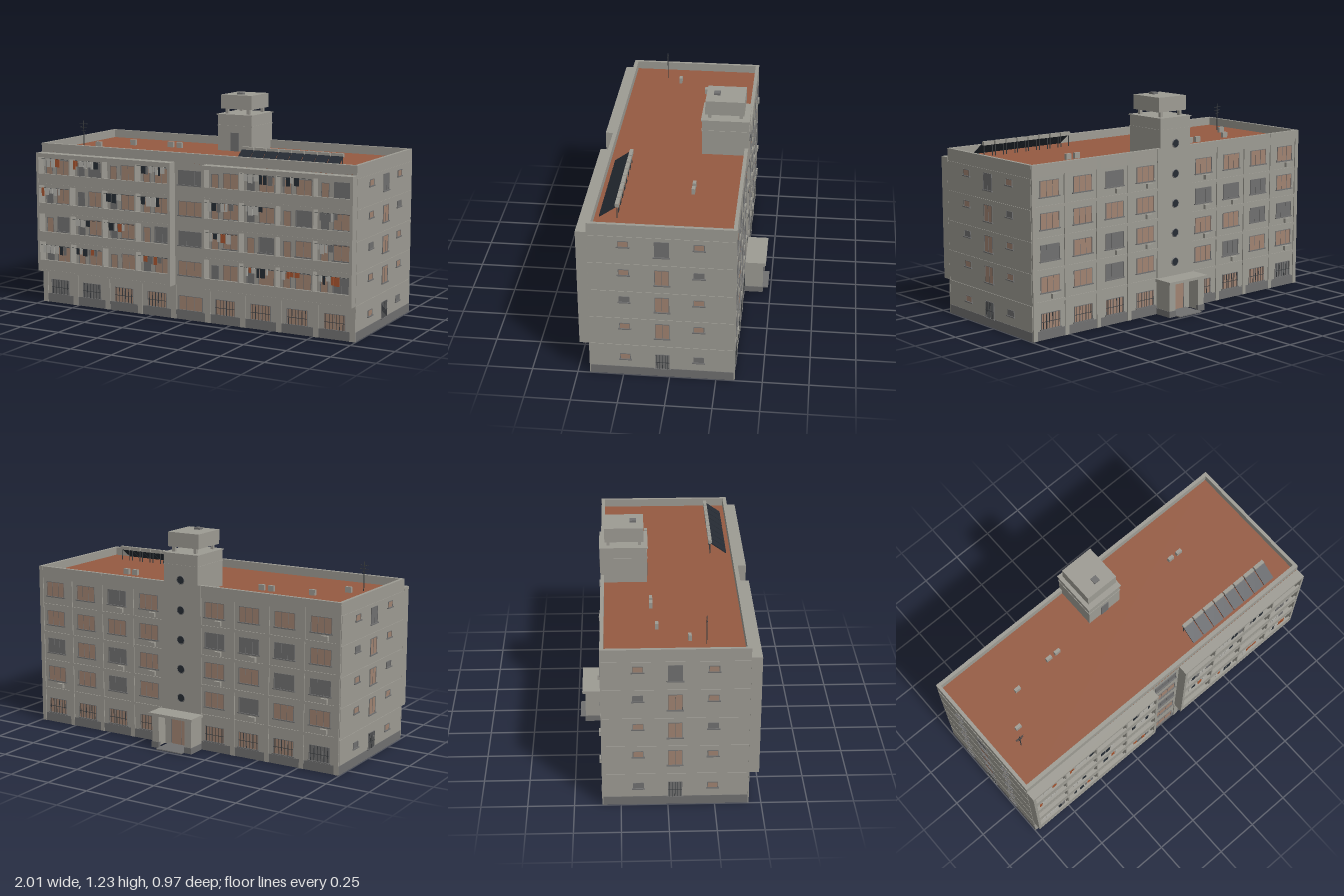
import * as THREE from 'three';

const flat = (name, color) => {
  const m = new THREE.MeshStandardMaterial({ color });
  m.name = name;
  return m;
};

export function createModel() {
  const model = new THREE.Group();
  model.name = 'apartmentBlock';
  const concrete = flat('concrete', 0x9d9b93);
  const grey = flat('dark grey', 0x707070);
  const brown = flat('brown shutter', 0xa08371);
  const terracotta = flat('terracotta roof', 0x955a41);
  const iron = flat('dark iron', 0x3a3d40);
  const navy = flat('dark panel', 0x252b33);
  const pale = flat('pale cloth', 0xb4b3ad);
  const rust = flat('rust cloth', 0xa4532f);

  let seed = 7;
  const rand = () => (seed = (seed * 16807) % 2147483647) / 2147483647;

  const group = (name, parent = model) => {
    const g = new THREE.Group();
    g.name = name;
    parent.add(g);
    return g;
  };
  // Box given by its limits on each axis
  const box = (parent, name, mat, x0, x1, y0, y1, z0, z1) => {
    const m = new THREE.Mesh(new THREE.BoxGeometry(x1 - x0, y1 - y0, z1 - z0), mat);
    m.position.set((x0 + x1) / 2, (y0 + y1) / 2, (z0 + z1) / 2);
    m.name = name;
    parent.add(m);
    return m;
  };
  // Window facing +z with its bottom centre at the origin; it shows on both sides of the wall
  const windowUnit = (parent, name, w, h, mat, { leaves = 2, bars = 0, sill = true } = {}) => {
    const g = group(name, parent);
    box(g, 'pane', mat, -w / 2, w / 2, 0, h, -0.008, 0.0015);
    for (const s of [-1, 1]) box(g, 'jamb', grey, s * w / 2 - 0.0015, s * w / 2 + 0.0015, 0, h, 0, 0.004);
    box(g, 'lintel', grey, -w / 2, w / 2, h - 0.0015, h + 0.0015, 0, 0.004);
    for (let i = 1; i < leaves; i++) {
      const x = -w / 2 + (w * i) / leaves;
      box(g, 'mullion', grey, x - 0.001, x + 0.001, 0, h, 0, 0.003);
    }
    for (let i = 0; i < bars; i++) {
      const x = -w / 2 + (w * (i + 0.5)) / bars;
      box(g, 'bar', iron, x - 0.0013, x + 0.0013, 0, h, 0.003, 0.0055);
    }
    if (bars) box(g, 'crossBar', iron, -w / 2, w / 2, h * 0.45, h * 0.45 + 0.0025, 0.003, 0.0055);
    if (sill) box(g, 'sill', grey, -w / 2 - 0.008, w / 2 + 0.008, -0.005, 0.001, 0, 0.008);
    return g;
  };

  const FRONT = 0.428, BACK = -0.345, SIDE = 0.991, TOP = 0.94, ROOF = 0.893;
  const base = [0.05, 0.248, 0.417, 0.586, 0.758];
  const bayX = (i) => (i < 4 ? -0.988 + i * 0.22 : 0.108 + (i - 4) * 0.22);

  // Hollow shell and roof
  const shell = group('shell');
  box(shell, 'frontWall', concrete, -SIDE, SIDE, 0, TOP, FRONT - 0.006, FRONT);
  box(shell, 'backWall', concrete, -SIDE, SIDE, 0, TOP, BACK, BACK + 0.006);
  for (const s of [-1, 1]) box(shell, 'sideWall', concrete, s * SIDE - 0.003, s * SIDE + 0.003, 0, TOP, BACK, FRONT);
  box(shell, 'roofDeck', terracotta, -SIDE, SIDE, ROOF - 0.008, ROOF, BACK, FRONT);
  box(shell, 'frontParapet', concrete, -SIDE, SIDE, ROOF, TOP, 0.405, FRONT);
  box(shell, 'backParapet', concrete, -SIDE, SIDE, ROOF, TOP, BACK, BACK + 0.015);
  for (const s of [-1, 1]) box(shell, 'sideParapet', concrete, s * 0.983 - 0.008, s * 0.983 + 0.008, ROOF, TOP, BACK, FRONT);

  // Ground floor of the front
  const ground = group('frontGroundFloor');
  box(ground, 'plinth', grey, -SIDE, SIDE, 0, 0.051, FRONT, FRONT + 0.003);
  for (const s of [-1, 1]) for (let i = 0; i < 5; i++) {
    const x = s * (0.11 + i * 0.22);
    const c = i === 4 ? s * 0.981 : x;
    box(ground, 'pilaster', concrete, c - 0.016, c + 0.016, 0, 0.195, FRONT, FRONT + 0.006);
  }
  for (let i = 0; i < 8; i++) {
    windowUnit(ground, 'groundWindow', 0.12, 0.085, i < 2 ? grey : brown, { bars: 6 })
      .position.set(bayX(i) + 0.11, 0.053, FRONT + 0.001);
  }

  // Stair windows between the balcony blocks
  const stair = group('frontStairWindows');
  base.forEach((y, f) => {
    windowUnit(stair, 'stairWindow', 0.15, 0.08, f === 2 || f === 4 ? grey : brown, { leaves: 3 })
      .position.set(0, y + 0.006, FRONT + 0.001);
  });

  // Balcony blocks: slabs, rails, partitions
  const railTop = [0.262, 0.43, 0.598, 0.77], slabY = [0.193, 0.37, 0.535, 0.702], OUT = 0.485;
  for (const s of [-1, 1]) {
    const b = group(s > 0 ? 'leftBalconies' : 'rightBalconies');
    const x0 = s > 0 ? 0.1 : -0.996, x1 = s > 0 ? 0.996 : -0.1;
    slabY.forEach((y, f) => {
      box(b, 'slab', concrete, x0, x1, y, y + 0.01, FRONT, OUT);
      box(b, 'rail', concrete, x0, x1, y, railTop[f], OUT - 0.01, OUT - 0.001);
      box(b, 'railCap', concrete, x0, x1, railTop[f] - 0.005, railTop[f], OUT - 0.012, OUT);
    });
    box(b, 'canopy', concrete, x0, x1, 0.866, 0.888, FRONT, OUT);
    for (let i = 0; i <= 4; i++) {
      const c = s * (0.108 + i * 0.22), t = i % 4 ? 0.004 : 0.008;
      box(b, 'partition', concrete, c - t, c + t, 0.193, 0.888, FRONT, i % 4 ? OUT - 0.002 : OUT);
    }
  }

  // Doors, windows and washing on the balconies
  const greyWide = [[7], [0, 3, 5], [6], [1, 7]];
  const washing = [[0, 1, 3, 5, 6, 7], [1, 2, 4, 7], [0, 2, 3, 4, 5, 7], [0, 1, 3, 5, 6]];
  for (let f = 0; f < 4; f++) for (let i = 0; i < 8; i++) {
    const bay = group('balconyBay'), x = bayX(i), y = slabY[f];
    windowUnit(bay, 'balconyDoor', 0.043, 0.125, rand() < 0.45 ? grey : brown, { leaves: 1, sill: false })
      .position.set(x + 0.048, y + 0.01, FRONT + 0.001);
    windowUnit(bay, 'balconyWindow', 0.092, 0.085, greyWide[f].includes(i) ? grey : brown)
      .position.set(x + 0.145, y + 0.058, FRONT + 0.001);
    if (!washing[f].includes(i)) continue;
    const lineY = railTop[f] + 0.088;
    box(bay, 'washingLine', iron, x + 0.01, x + 0.21, lineY, lineY + 0.0015, 0.479, 0.4805);
    const end = x + 0.12 + rand() * 0.07;
    for (let cx = x + 0.025 + rand() * 0.02; cx < end;) {
      const w = 0.012 + rand() * 0.02, h = 0.025 + rand() * 0.027, r = rand();
      const mat = r < 0.55 ? pale : r < 0.7 ? grey : r < 0.89 ? navy : rust;
      box(bay, 'cloth', mat, cx, cx + w, lineY - h, lineY + 0.001, 0.481, 0.483);
      cx += w + 0.002 + rand() * 0.006;
    }
  }

  // End walls: raised panels, plinth, windows (built facing +z, then turned)
  const panelY = [[0.052, 0.193], [0.21, 0.365], [0.378, 0.535], [0.55, 0.705], [0.72, 0.87]];
  const greyEnd = ['cr', '', 'l', 'r', 'c'];
  for (const s of [-1, 1]) {
    const e = group(s > 0 ? 'leftEndWall' : 'rightEndWall');
    e.rotation.y = s * Math.PI / 2;
    e.position.x = s * (SIDE + 0.003);
    // local x runs along the wall
    const wx = (z) => -s * z;
    box(e, 'plinth', grey, Math.min(wx(FRONT), wx(BACK)), Math.max(wx(FRONT), wx(BACK)), 0, 0.05, 0, 0.003);
    base.forEach((y, f) => {
      const [a, b] = panelY[f], m = [wx(0.426), wx(-0.343)].sort((p, q) => p - q);
      box(e, 'panel', concrete, m[0], m[1], a, b, 0, 0.003);
      const pick = (k) => (greyEnd[f].includes(k) ? grey : brown);
      windowUnit(e, 'endDoorWindow', 0.074, 0.091, pick('c'), { bars: f ? 0 : 5 }).position.set(wx(0.038), y, 0.003);
      windowUnit(e, 'smallWindow', 0.054, 0.033, pick('l'), { leaves: 1 }).position.set(wx(0.238), y + 0.053, 0.003);
      windowUnit(e, 'smallWindow', 0.054, 0.033, pick('r'), { leaves: 1 }).position.set(wx(-0.157), y + 0.053, 0.003);
    });
  }

  // Back facade: grid of ribs, windows and cooling units
  const back = group('backFacade');
  box(back, 'plinth', grey, -SIDE, SIDE, 0, 0.05, BACK - 0.003, BACK);
  for (const s of [-1, 1]) {
    for (let i = 0; i < 5; i++) {
      const c = s * (i === 4 ? 0.98 : 0.118 + i * 0.217);
      box(back, 'rib', concrete, c - 0.013, c + 0.013, 0, TOP, BACK - 0.006, BACK);
    }
    for (const y of [0.193, 0.365, 0.535, 0.703, 0.872]) {
      const w = y > 0.87 ? 0.068 : 0.016;
      box(back, 'floorBand', concrete, Math.min(s * 0.11, s * SIDE), Math.max(s * 0.11, s * SIDE), y, y + w, BACK - 0.005, BACK);
    }
  }
  base.forEach((y, f) => {
    for (let i = 0; i < 8; i++) {
      const x = bayX(i) + 0.11;
      const w = windowUnit(back, 'backWindow', 0.122, 0.086, rand() < 0.35 ? grey : brown, { leaves: 3, bars: f ? 0 : 6 });
      w.rotation.y = Math.PI;
      w.position.set(x, y + 0.008, BACK - 0.001);
      if (f && rand() < 0.35) box(back, 'coolingUnit', concrete, x - 0.045, x - 0.005, y - 0.03, y - 0.004, BACK - 0.017, BACK);
    }
  });

  // Stair tower with portholes and roof door
  const tower = group('stairTower');
  box(tower, 'backShaft', concrete, -0.11, 0.11, 0, ROOF, BACK - 0.006, BACK + 0.001);
  box(tower, 'towerHead', concrete, -0.11, 0.11, ROOF, 1.1, BACK - 0.006, -0.09);
  box(tower, 'ledge', concrete, -0.113, 0.113, 1.036, 1.042, BACK - 0.008, -0.087);
  box(tower, 'cornice', concrete, -0.116, 0.116, 1.1, 1.106, BACK - 0.01, -0.084);
  box(tower, 'roofDoor', grey, -0.027, 0.027, ROOF, 1.0, -0.09, -0.086);
  for (const y of [0.283, 0.45, 0.618, 0.787, 0.958]) {
    const rim = new THREE.Mesh(new THREE.TorusGeometry(0.023, 0.003, 6, 20), grey);
    const glass = new THREE.Mesh(new THREE.CylinderGeometry(0.023, 0.023, 0.004, 20), navy);
    glass.rotation.x = Math.PI / 2;
    rim.name = 'portholeRim';
    glass.name = 'porthole';
    for (const m of [rim, glass]) { m.position.set(0, y, BACK - 0.007); tower.add(m); }
  }

  // Water tank on posts
  const tank = group('waterTank');
  box(tank, 'tank', concrete, -0.1, 0.1, 1.135, 1.217, -0.325, -0.107);
  box(tank, 'hatch', grey, -0.018, 0.018, 1.217, 1.228, -0.184, -0.148);
  for (const x of [-0.07, 0.07]) for (const z of [-0.305, -0.13])
    box(tank, 'post', concrete, x - 0.009, x + 0.009, 1.1, 1.137, z - 0.009, z + 0.009);

  // Entrance porch
  const porch = group('porch');
  box(porch, 'canopy', concrete, -0.143, 0.143, 0.19, 0.205, -0.47, BACK);
  for (const s of [-1, 1]) {
    box(porch, 'sideWall', concrete, s * 0.12 - 0.01, s * 0.12 + 0.01, 0, 0.19, -0.452, BACK);
    box(porch, 'frontReturn', concrete, s * 0.108 - 0.022, s * 0.108 + 0.022, 0, 0.19, -0.453, -0.44);
    box(porch, 'plinth', grey, s * 0.109 - 0.024, s * 0.109 + 0.024, 0, 0.035, -0.456, -0.437);
    box(porch, 'sidePlinth', grey, s * 0.122 - 0.011, s * 0.122 + 0.011, 0, 0.035, -0.455, BACK);
  }
  box(porch, 'step', grey, -0.085, 0.085, 0, 0.006, -0.485, BACK);
  const door = windowUnit(porch, 'entranceDoor', 0.13, 0.15, brown, { sill: false });
  door.rotation.y = Math.PI;
  door.position.set(0, 0.006, BACK - 0.007);

  // Roof vents
  for (const [x, z] of [[-0.665, -0.05], [-0.42, -0.075], [-0.36, -0.075], [0.49, -0.085], [0.55, -0.085], [-0.8, 0.12]])
    box(model, 'roofVent', concrete, x - 0.018, x + 0.018, ROOF, ROOF + 0.032, z - 0.009, z + 0.009);

  // Aerial
  const aerial = group('aerial');
  box(aerial, 'mast', iron, -0.852, -0.848, ROOF, 1.057, 0.203, 0.207);
  for (const [y, w] of [[1.035, 0.027], [1.015, 0.024], [0.997, 0.014]])
    box(aerial, 'crossArm', iron, -0.85 - w, -0.85 + w, y, y + 0.003, 0.2035, 0.2065);

  // Row of solar heaters
  const solar = group('solarHeaters');
  for (let i = 0; i < 8; i++) {
    const x = 0.285 + i * 0.0763;
    const panel = box(solar, 'solarPanel', navy, x - 0.035, x + 0.035, -0.003, 0.003, -0.053, 0.053);
    panel.position.set(x, 0.931, 0.336);
    panel.rotation.x = 0.62;
    box(solar, 'heaterTank', concrete, x - 0.034, x + 0.034, 0.957, 0.978, 0.276, 0.296);
    for (const s of [-1, 1]) box(solar, 'leg', iron, x + s * 0.028 - 0.002, x + s * 0.028 + 0.002, ROOF, 0.958, 0.284, 0.288);
  }
  return model;
}
